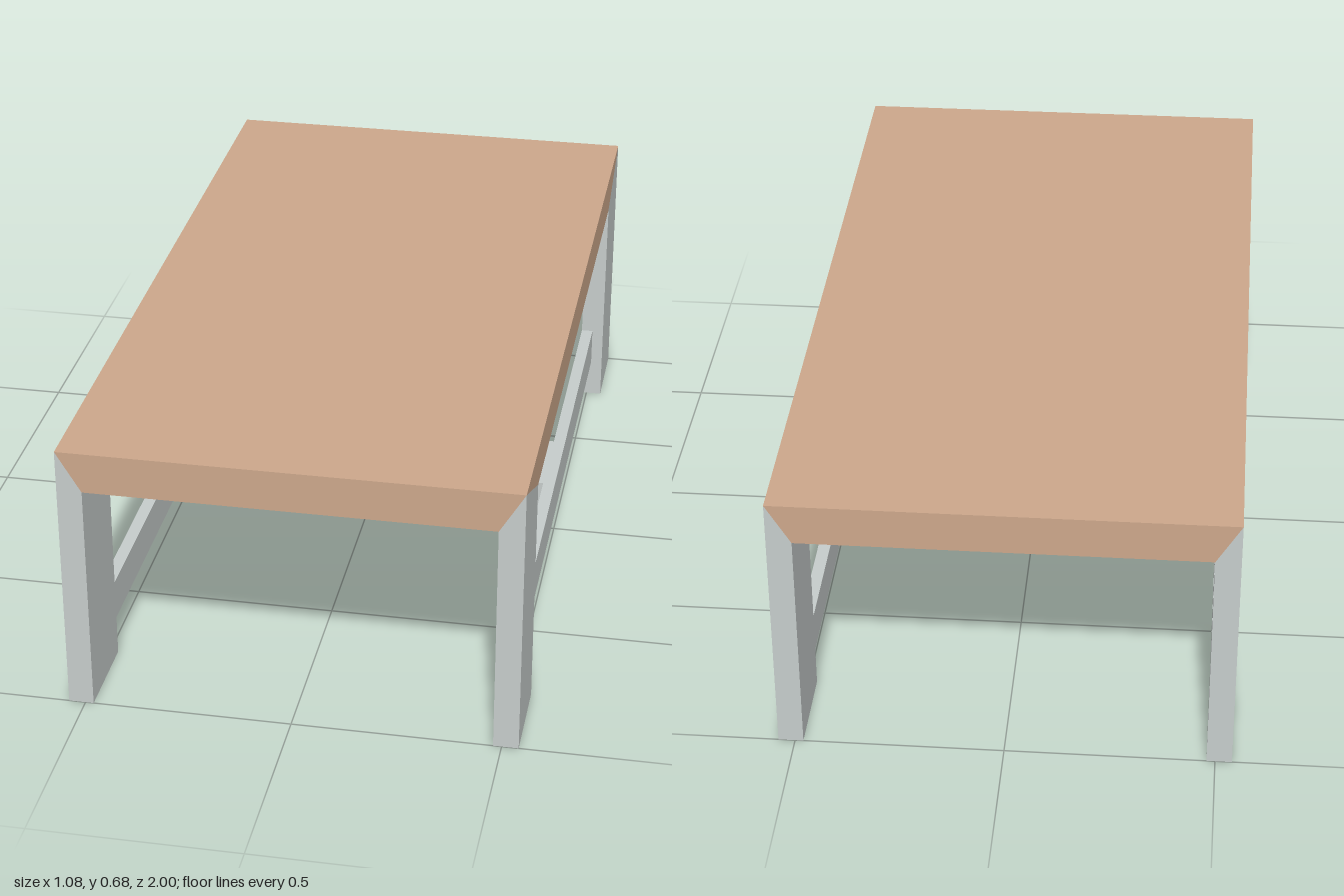
import * as THREE from 'three';
import { ConvexGeometry } from 'three/addons/geometries/ConvexGeometry.js';

const X = 0.54, Z = 1;             // outer half sizes
const XI = 0.48, ZI = 0.775;       // inner faces of the legs
const TOP = 0.68, UNDER = 0.58;    // table top surface and underside
const RAIL_LOW = 0.1, RAIL_HIGH = 0.2;

// Flat-shaded geometry from four-cornered faces, corners counter-clockwise from outside
function quadGeometry(quads) {
  const points = [];
  for (const [a, b, c, d] of quads) points.push(...a, ...b, ...c, ...a, ...c, ...d);
  const geometry = new THREE.BufferGeometry();
  geometry.setAttribute('position', new THREE.Float32BufferAttribute(points, 3));
  geometry.computeVertexNormals();
  return geometry;
}

// Slab whose side faces taper down to the mitred leg corners
function tableTopGeometry() {
  const quads = [[[-X, TOP, Z], [X, TOP, Z], [X, TOP, -Z], [-X, TOP, -Z]]];
  for (const s of [1, -1]) {
    quads.push([[-s * XI, UNDER, s * Z], [s * XI, UNDER, s * Z], [s * X, TOP, s * Z], [-s * X, TOP, s * Z]]);
    quads.push([[s * X, UNDER, s * ZI], [s * X, UNDER, -s * ZI], [s * X, TOP, -s * Z], [s * X, TOP, s * Z]]);
  }
  // Underside: a full-length middle panel and a strip beside it between the legs
  const under = (x0, x1, z) => quads.push([[x0, UNDER, -z], [x1, UNDER, -z], [x1, UNDER, z], [x0, UNDER, z]]);
  under(-XI, XI, Z);
  under(-X, -XI, ZI);
  under(XI, X, ZI);
  return quadGeometry(quads);
}

// Rectangular post rising to a point at the outer table corner
function legGeometry(sx, sz) {
  const points = [];
  for (const x of [X, XI]) {
    for (const z of [Z, ZI]) {
      const y = x === X && z === Z ? TOP : UNDER;
      points.push(new THREE.Vector3(sx * x, 0, sz * z), new THREE.Vector3(sx * x, y, sz * z));
    }
  }
  return new ConvexGeometry(points);
}

export function createModel() {
  const wood = new THREE.MeshStandardMaterial({ color: 0xcca78b });
  wood.name = 'wood';
  const grey = new THREE.MeshStandardMaterial({ color: 0xc6cccb });
  grey.name = 'paleGrey';

  const table = new THREE.Group();
  table.name = 'table';
  const add = (name, geometry, material, x = 0, y = 0, z = 0) => {
    const mesh = new THREE.Mesh(geometry, material);
    mesh.name = name;
    mesh.position.set(x, y, z);
    table.add(mesh);
  };

  add('tableTop', tableTopGeometry(), wood);

  // Legs, with a thin rail joining each side pair
  const railHeight = RAIL_HIGH - RAIL_LOW, railY = (RAIL_HIGH + RAIL_LOW) / 2;
  for (const sx of [1, -1]) {
    const side = sx > 0 ? 'Left' : 'Right';
    for (const sz of [1, -1]) add((sz > 0 ? 'front' : 'back') + side + 'Leg', legGeometry(sx, sz), grey);
    add('side' + side + 'Rail', new THREE.BoxGeometry(0.03, railHeight, 2 * ZI), grey, sx * (XI + 0.015), railY, 0);
  }

  // Wide crossbar between the side rails
  add('crossbar', new THREE.BoxGeometry(2 * XI, railHeight, 0.225), grey, 0, railY, 0);

  return table;
}
